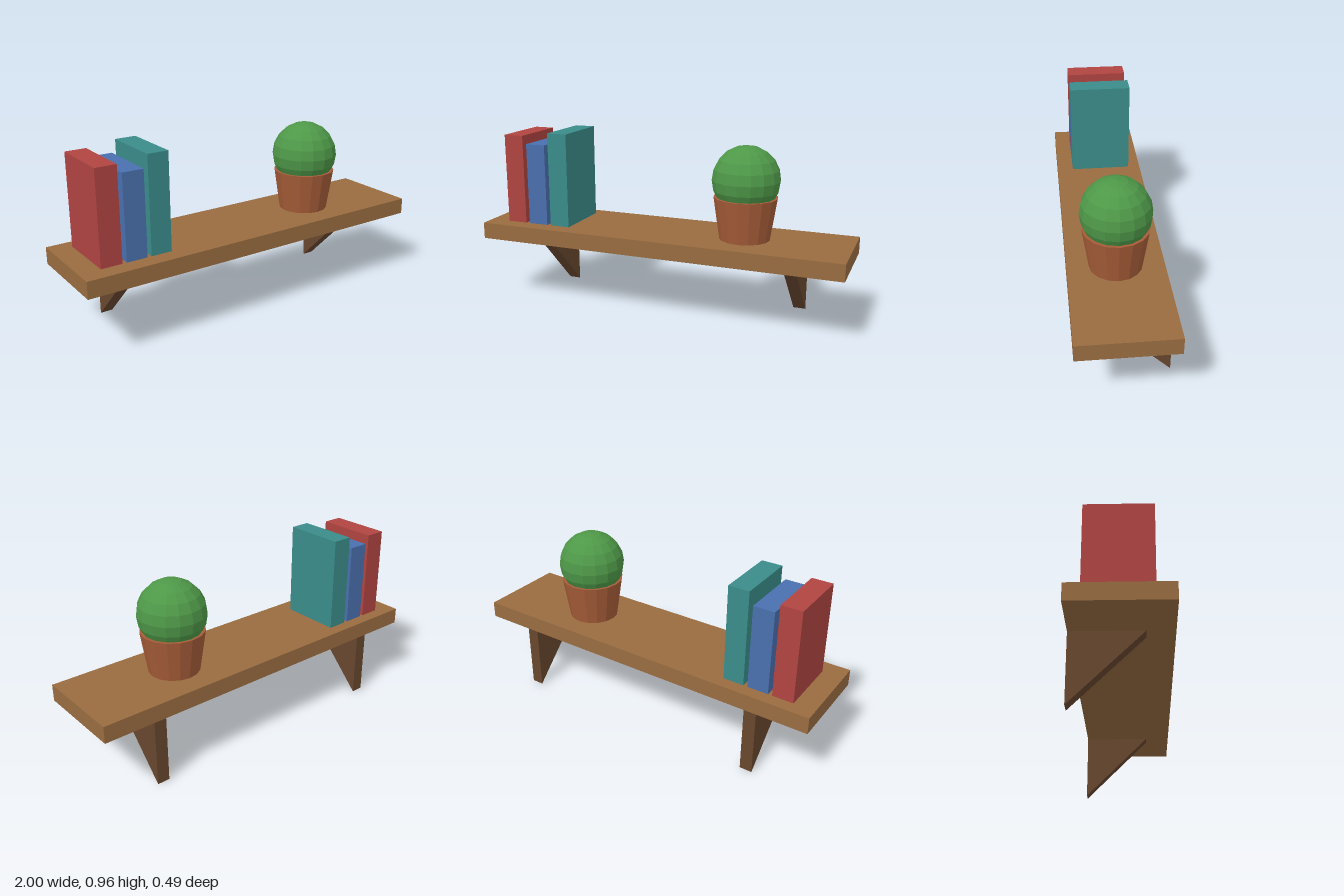
import * as THREE from 'three';

const mat = (color) => new THREE.MeshStandardMaterial({ color, flatShading: true });

function addMesh(parent, name, geometry, material, x, y, z) {
  const mesh = new THREE.Mesh(geometry, material);
  mesh.name = name;
  mesh.position.set(x, y, z);
  parent.add(mesh);
  return mesh;
}

export function createModel() {
  const model = new THREE.Group();
  model.name = 'wallShelf';

  // Board
  const top = 0.4444, thickness = 0.0889, depth = 0.4889;
  const under = top - thickness, back = -depth / 2;
  addMesh(model, 'board', new THREE.BoxGeometry(2, thickness, depth), mat(0x996c40), 0, top - thickness / 2, 0);

  // Triangular brackets, flush with the back edge of the board
  const width = 0.0667;
  const profile = new THREE.Shape([
    new THREE.Vector2(0, 0),
    new THREE.Vector2(0, -under),
    new THREE.Vector2(under, 0),
  ]);
  const bracket = new THREE.ExtrudeGeometry(profile, { depth: width, bevelEnabled: false });
  bracket.translate(0, 0, -width / 2).rotateY(-Math.PI / 2); // profile runs forward along +z
  const bracketMat = mat(0x68472e);
  for (const [name, side] of [['leftBracket', 1], ['rightBracket', -1]]) {
    addMesh(model, name, bracket, bracketMat, side * 0.7, under, back);
  }

  // Row of books
  const books = new THREE.Group();
  books.name = 'books';
  model.add(books);
  [['redBook', 0.4889, 0xb04441], ['blueBook', 0.4444, 0x4a70ae], ['tealBook', 0.5111, 0x3a8c8a]]
    .forEach(([name, height, color], i) => {
      addMesh(books, name, new THREE.BoxGeometry(0.1111, height, 0.3333), mat(color),
        -0.8333 + i * 0.1333, top + height / 2, -0.0111);
    });

  // Potted round plant
  const plant = new THREE.Group();
  plant.name = 'pottedPlant';
  plant.position.set(0.4422, top, 0);
  model.add(plant);
  addMesh(plant, 'pot', new THREE.CylinderGeometry(0.1667, 0.1333, 0.2222, 16), mat(0xa65c38), 0, 0.1111, 0);
  addMesh(plant, 'foliage', new THREE.SphereGeometry(0.1775, 16, 10), mat(0x4e9848), 0, 0.3111, 0);

  return model;
}
